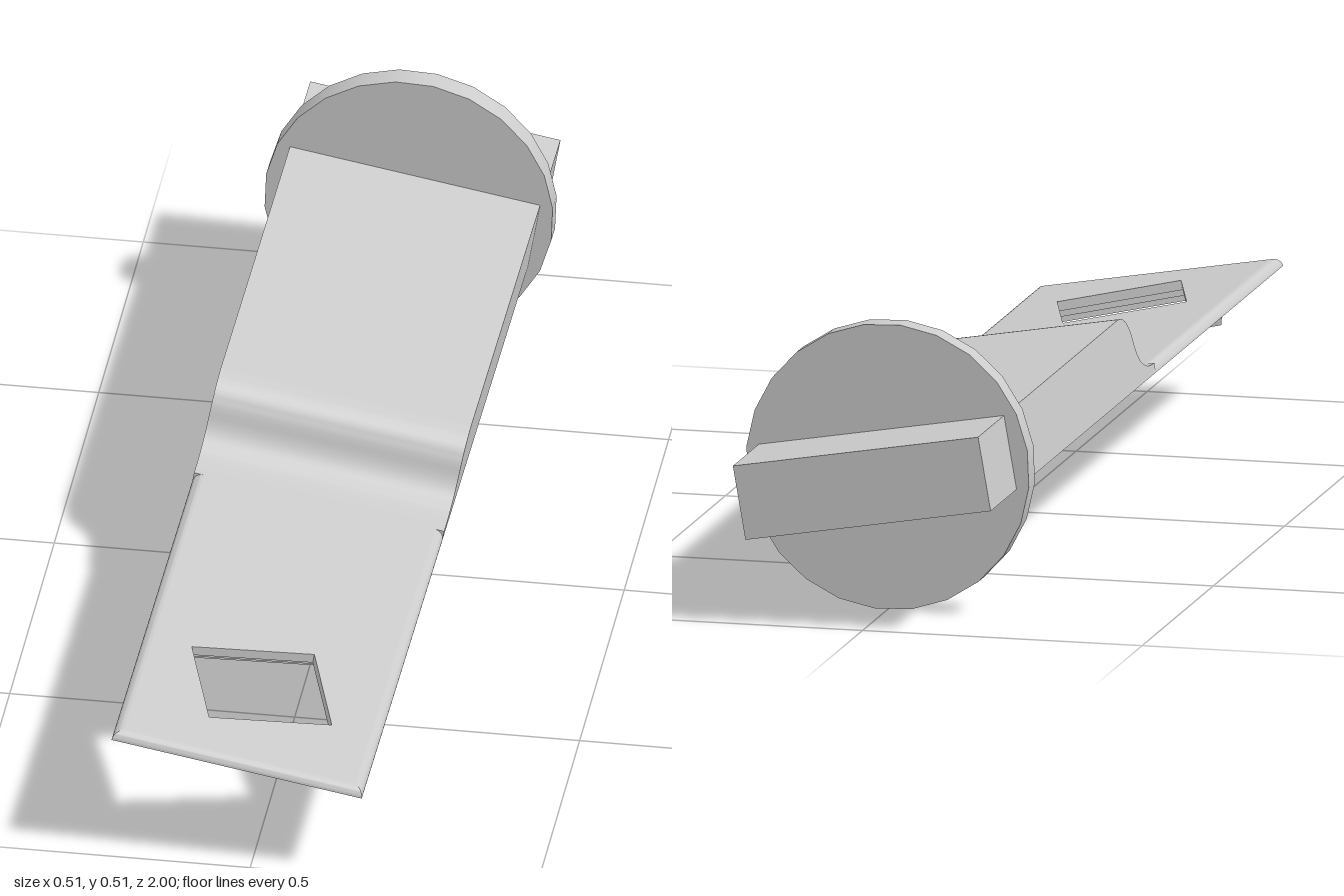
import * as THREE from 'three';
import { toCreasedNormals, mergeVertices, mergeGeometries } from 'three/addons/utils/BufferGeometryUtils.js';

const W = 0.223;                          // half width of the bar
const TOP = 0.066, BOTTOM = -0.066;       // thick section
const PLATE = -0.049;                     // top of the thin blade
const R = BOTTOM - PLATE;                 // negative blade thickness
const WINDOW_Z = 0.747, WINDOW_R = 0.154, WINDOW_TURN = -0.48;

export function createModel() {
  const model = new THREE.Group();
  model.name = 'barWithCollar';
  // The whole bar is rolled about its length and very slightly pitched and yawed
  const tilt = new THREE.Group();
  tilt.name = 'tiltedBar';
  tilt.position.set(0, 0.254, -0.8);
  tilt.rotation.set(-0.006, -0.007, -0.17);
  model.add(tilt);

  const add = (name, geometry, options = {}) => {
    const mesh = new THREE.Mesh(geometry, new THREE.MeshStandardMaterial({ color: 0xcccccc, ...options }));
    mesh.name = name;
    mesh.position.z = 0.8;
    tilt.add(mesh);
  };

  // Thick bar with an S-shaped step down to the blade
  const side = new THREE.Shape();
  side.moveTo(-1, BOTTOM);
  side.lineTo(0.13, BOTTOM);
  side.lineTo(0.13, PLATE);
  side.bezierCurveTo(0.07, PLATE, 0.04, -0.03, 0.028, 0.005);
  side.bezierCurveTo(0.018, 0.045, -0.005, TOP, -0.05, TOP);
  side.lineTo(-1, TOP);
  side.closePath();
  const body = new THREE.ExtrudeGeometry(side, { depth: 2 * W, bevelEnabled: false, curveSegments: 12 });
  body.rotateY(-Math.PI / 2);
  body.translate(W, 0, 0);
  add('steppedBar', toCreasedNormals(body, 0.5));

  // Thin blade with a turned square window
  const r = -R, back = 0.12, inner = W - r;
  const outline = new THREE.Shape([
    new THREE.Vector2(-inner, back), new THREE.Vector2(inner, back),
    new THREE.Vector2(inner, 1 - r), new THREE.Vector2(-inner, 1 - r),
  ]);
  const corners = [];
  for (let i = 0; i < 4; i++) {
    const a = WINDOW_TURN + i * Math.PI / 2;
    corners.push(new THREE.Vector2(WINDOW_R * Math.sin(a), WINDOW_Z + WINDOW_R * Math.cos(a)));
  }
  outline.holes.push(new THREE.Path(corners));
  const blade = new THREE.ExtrudeGeometry(outline, { depth: r, bevelEnabled: false });
  blade.rotateX(Math.PI / 2);
  blade.translate(0, PLATE, 0);
  add('blade', blade);

  // Rounded upper rim along both sides and the tip, mitred at the corners
  const section = [[0, BOTTOM]];
  for (let i = 0; i <= 8; i++) {
    const a = i / 8 * Math.PI / 2;
    section.push([r * Math.cos(a), BOTTOM + r * Math.sin(a)]);
  }
  const path = (d) => [[inner + d, back], [inner + d, 1 - r + d], [-inner - d, 1 - r + d], [-inner - d, back]];
  const strips = [];
  for (let s = 0; s < 3; s++) {
    const pos = [];
    for (let i = 0; i < section.length - 1; i++) {
      const [d0, y0] = section[i], [d1, y1] = section[i + 1];
      const point = (d, y, k) => { const [x, z] = path(d)[k]; return [x, y, z]; };
      const a = point(d0, y0, s), b = point(d0, y0, s + 1);
      const c = point(d1, y1, s + 1), e = point(d1, y1, s);
      pos.push(...a, ...c, ...b, ...a, ...e, ...c);
    }
    const strip = new THREE.BufferGeometry();
    strip.setAttribute('position', new THREE.Float32BufferAttribute(pos, 3));
    strips.push(toCreasedNormals(mergeVertices(strip), 0.7));
  }
  add('bladeRim', mergeGeometries(strips), { side: THREE.DoubleSide });

  // Square stepped frame under the window, flaring into the blade
  const profile = [
    [0.176, BOTTOM], [0.176, -0.079], [0.196, -0.079], [0.196, -0.091],
    [0.228, -0.091], [0.23, -0.081], [0.236, -0.072], [0.25, BOTTOM],
  ].map(([x, y]) => new THREE.Vector2(x, y));
  const frame = new THREE.LatheGeometry(profile, 4, WINDOW_TURN);
  frame.translate(0, 0, WINDOW_Z);
  add('windowFrame', frame, { flatShading: true });

  // Round collar near the back end
  const collar = new THREE.CylinderGeometry(0.254, 0.254, 0.042, 24);
  collar.rotateX(Math.PI / 2);
  collar.translate(0, 0, -0.802);
  add('collar', collar);

  return model;
}
